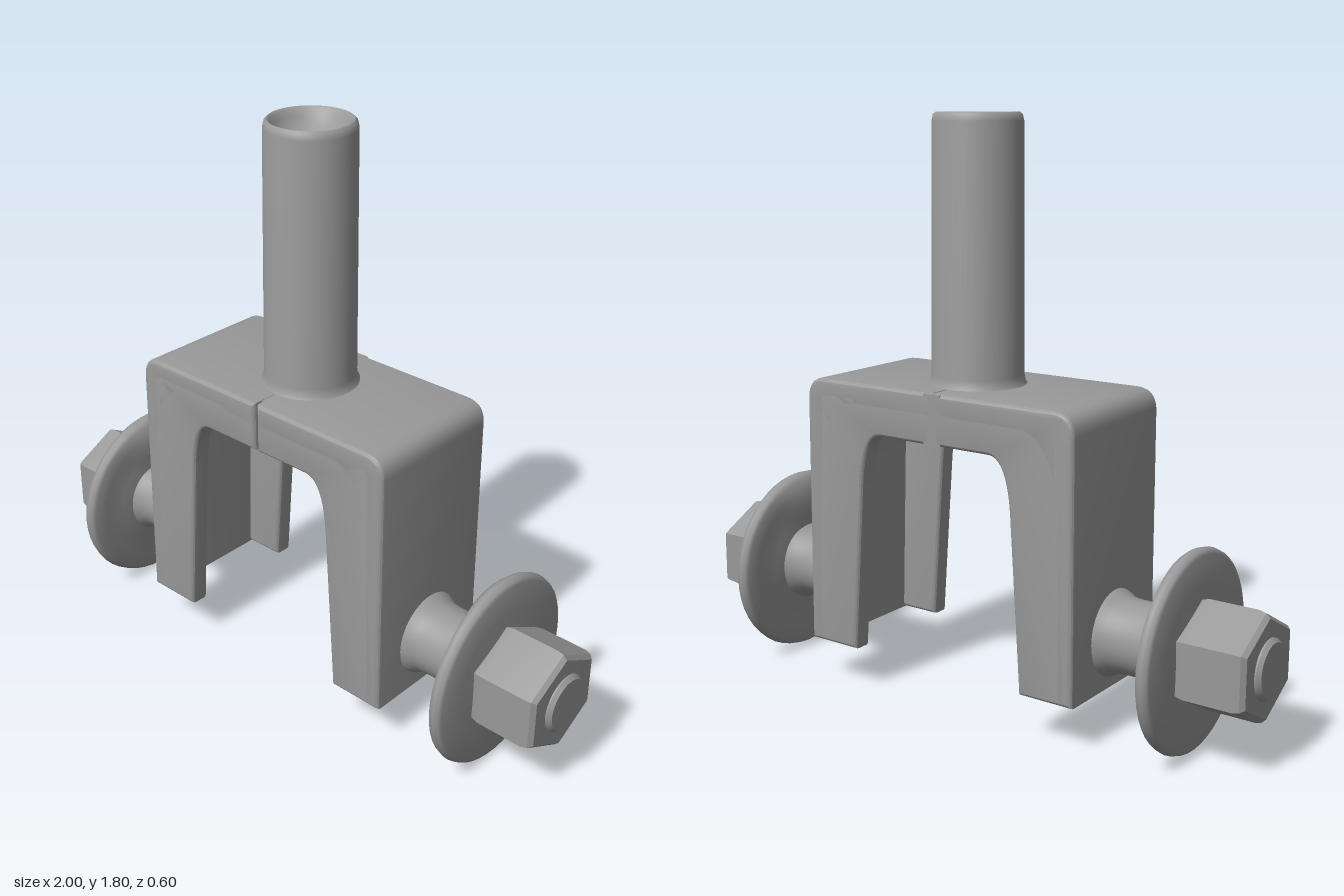
import * as THREE from 'three';
import { toCreasedNormals } from 'three/addons/utils/BufferGeometryUtils.js';

const material = new THREE.MeshStandardMaterial({ color: 0x999999 });

function add(parent, name, geometry, crease = 0.6) {
  const mesh = new THREE.Mesh(toCreasedNormals(geometry, crease), material);
  mesh.name = name;
  parent.add(mesh);
  return mesh;
}

function lathe(points, sides = 48, start = 0) {
  return new THREE.LatheGeometry(points.map(([r, y]) => new THREE.Vector2(r, y)), sides, start);
}

// Half of a fork plate with a tapering leg; its outer edge is buried in the wall
function halfFork(side) {
  const s = new THREE.Shape();
  s.moveTo(side * 0.004, 0.965);
  s.lineTo(side * 0.40, 0.965);
  s.quadraticCurveTo(side * 0.455, 0.965, side * 0.455, 0.91);
  s.lineTo(side * 0.465, 0.14);
  s.lineTo(side * 0.31, 0.14);
  s.lineTo(side * 0.274, 0.68);
  s.quadraticCurveTo(side * 0.262, 0.84, side * 0.2, 0.843);
  s.lineTo(side * 0.004, 0.843);
  s.closePath();
  return s;
}

// Half of the top and outer wall that joins the plates
function halfWall(side) {
  const s = new THREE.Shape();
  s.moveTo(side * 0.004, 1);
  s.lineTo(side * 0.42, 1);
  s.quadraticCurveTo(side * 0.49, 1, side * 0.49, 0.93);
  s.lineTo(side * 0.494, 0.14);
  s.lineTo(side * 0.44, 0.14);
  s.lineTo(side * 0.425, 0.7);
  s.quadraticCurveTo(side * 0.41, 0.92, side * 0.3, 0.92);
  s.lineTo(side * 0.004, 0.92);
  s.closePath();
  return s;
}

// Extrudes a shape between two depths with small rounded edges
function slab(shape, back, front) {
  const bevel = 0.016;
  return new THREE.ExtrudeGeometry(shape, {
    depth: front - back - bevel * 2, bevelEnabled: true, bevelSize: bevel, bevelThickness: bevel,
    bevelOffset: -bevel, bevelSegments: 4, curveSegments: 10,
  }).translate(0, 0, back + bevel);
}

// Washer with a domed hub and a small swelling high on its inner face
function washer(side) {
  const geometry = lathe([[0, 0.708], [0.13, 0.714], [0.17, 0.72], [0.2, 0.723], [0.24, 0.725],
    [0.285, 0.727], [0.297, 0.733], [0.302, 0.749], [0.297, 0.765], [0.285, 0.77], [0.2, 0.772],
    [0.13, 0.778], [0, 0.78]]);
  const p = geometry.attributes.position;
  for (let i = 0; i < p.count; i++) {
    const up = -side * p.getX(i);
    const swell = 0.025 * Math.exp(-(((up - 0.21) / 0.07) ** 2) - (p.getZ(i) / 0.1) ** 2);
    if (p.getY(i) < 0.73) p.setY(i, p.getY(i) - swell);
  }
  return geometry;
}

function makeBolt(side) {
  const bolt = new THREE.Group();
  bolt.name = side > 0 ? 'leftBolt' : 'rightBolt';
  // Axle with a small fillet where it meets the leg
  add(bolt, 'axle', lathe([[0, 0.46], [0.12, 0.46], [0.135, 0.485], [0.128, 0.505],
    [0.116, 0.525], [0.112, 0.56], [0.112, 0.67], [0.12, 0.695], [0.135, 0.72], [0, 0.74]]), 0.9);
  add(bolt, 'washer', washer(side), 0.9);
  // Chamfered hexagonal nut, one corner up
  add(bolt, 'nut', lathe([[0, 0.76], [0.152, 0.76], [0.16, 0.775], [0.166, 0.8], [0.166, 0.95],
    [0.161, 0.97], [0.148, 0.983], [0, 0.984]], 6, Math.PI / 2).scale(1, 1, 1.07), 0.5);
  // Threaded end
  add(bolt, 'boltEnd', lathe([[0, 0.95], [0.09, 0.95], [0.09, 0.988], [0.08, 1], [0, 1]]));
  bolt.rotation.z = -side * Math.PI / 2;
  bolt.position.y = 0.303;
  return bolt;
}

export function createModel() {
  const model = new THREE.Group();
  model.name = 'forkAssembly';

  const bracket = new THREE.Group();
  bracket.name = 'bracket';
  model.add(bracket);

  // Wall and flanges in mirrored halves
  for (const side of [1, -1]) {
    const label = side > 0 ? 'Left' : 'Right';
    add(bracket, 'wall' + label, slab(halfWall(side), -0.24, 0.235), 0.3);
    add(bracket, 'frontPlate' + label, slab(halfFork(side), 0.165, 0.235), 0.3);
    add(bracket, 'backPlate' + label, slab(halfFork(side), -0.24, -0.17), 0.3);
  }
  // Fillers close the joint, leaving only a notch down the front: bottom, top, back, front
  const joins = { backJoin: [0.845, 0.998, -0.239, -0.172], topJoin: [0.922, 0.999, -0.23, 0.2],
    frontJoin: [0.845, 0.998, 0.167, 0.2] };
  for (const [name, [bottom, top, back, front]] of Object.entries(joins)) {
    add(bracket, name, new THREE.BoxGeometry(0.06, top - bottom, front - back))
      .position.set(0, (top + bottom) / 2, (back + front) / 2);
  }

  // Stem with a small fillet at the base and a dished top
  add(model, 'stem', lathe([[0, 0.94], [0.14, 0.94], [0.152, 0.998], [0.145, 1.008], [0.141, 1.03],
    [0.136, 1.78], [0.132, 1.798], [0.124, 1.805], [0.116, 1.8], [0.108, 1.78], [0.085, 1.755],
    [0.045, 1.735], [0, 1.73]]), 0.8).position.z = -0.008;

  for (const side of [1, -1]) model.add(makeBolt(side));
  return model;
}
